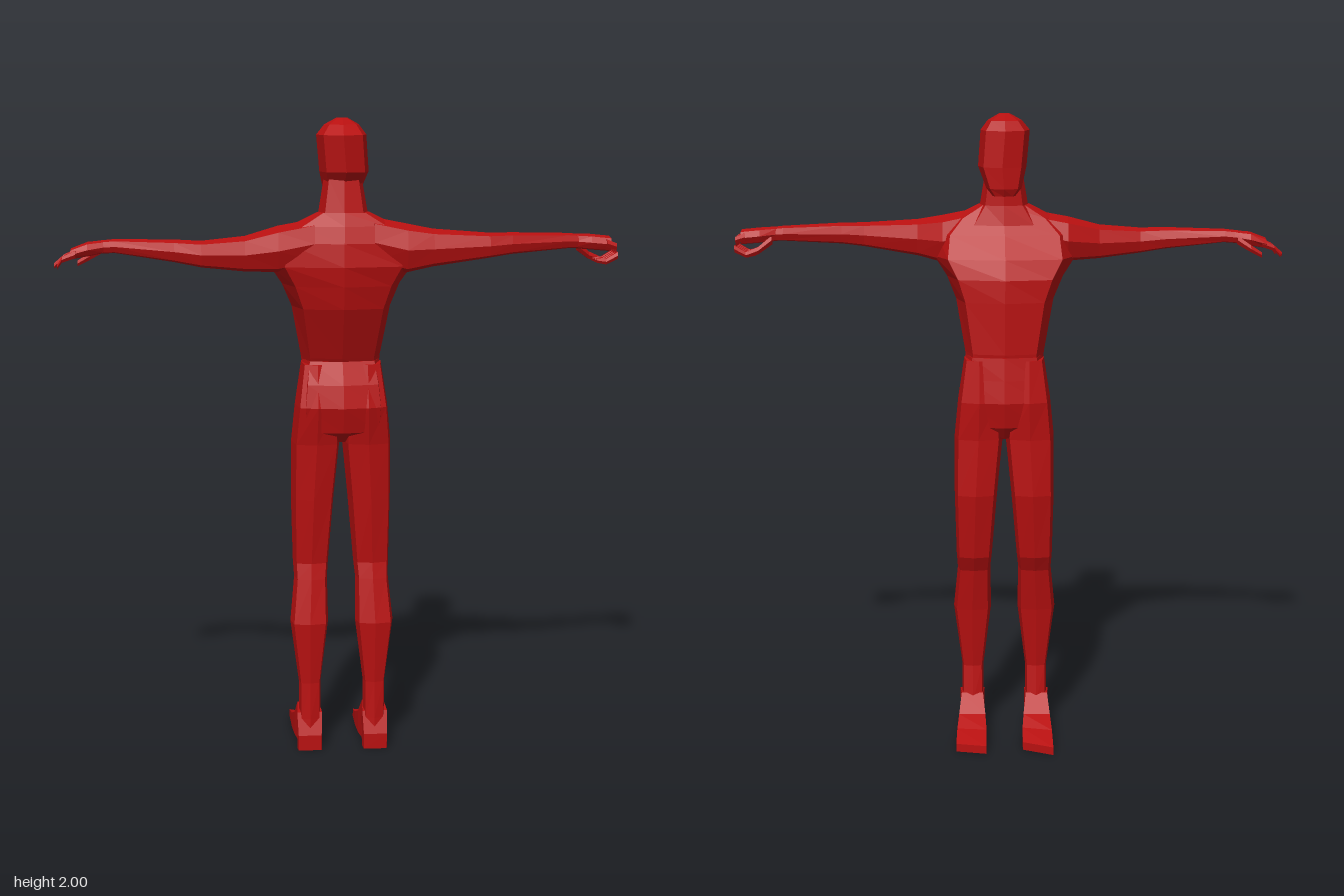
import * as THREE from 'three';

const red = new THREE.MeshStandardMaterial({ color: 0xb81010, flatShading: true });
red.name = 'red';

// Maps (t along the axis, a, b across it) to x, y, z
const place = {
  x: (t, a, b) => [t, b, a], // a = z, b = y
  y: (t, a, b) => [a, t, b], // a = x, b = z
  z: (t, a, b) => [a, b, t], // a = x, b = y
};

// Low-poly skin over sections [t, aMin, aMax, bMin, bMax, skew of t across a]
function loft(name, axis, sections, { sides = 8, power = 0.75, turn = 0 } = {}) {
  const pos = [], idx = [], n = sides, last = sections.length - 1;
  const bulge = (v) => Math.sign(v) * Math.abs(v) ** power;
  for (const [t, a0, a1, b0, b1, skew = 0] of sections) {
    for (let i = 0; i < n; i++) {
      const ang = turn + (i / n) * Math.PI * 2;
      const c = bulge(Math.cos(ang)), s = bulge(Math.sin(ang));
      pos.push(...place[axis](t + skew * c, (a0 + a1) / 2 + (c * (a1 - a0)) / 2, (b0 + b1) / 2 + (s * (b1 - b0)) / 2));
    }
  }
  for (let j = 0; j < last; j++) {
    for (let i = 0; i < n; i++) {
      const p = j * n + i, q = j * n + ((i + 1) % n);
      idx.push(p, q, q + n, p, q + n, p + n);
    }
  }
  for (let i = 1; i < n - 1; i++) {
    idx.push(0, i + 1, i, last * n, last * n + i, last * n + i + 1);
  }
  // Turn the faces outward whichever way the sections run
  let volume = 0;
  const v = (i) => new THREE.Vector3().fromArray(pos, i * 3);
  for (let i = 0; i < idx.length; i += 3) volume += v(idx[i]).dot(v(idx[i + 1]).cross(v(idx[i + 2])));
  if (volume < 0) idx.reverse();
  const geo = new THREE.BufferGeometry();
  geo.setAttribute('position', new THREE.Float32BufferAttribute(pos, 3));
  geo.setIndex(idx);
  const flat = geo.toNonIndexed();
  flat.computeVertexNormals();
  const mesh = new THREE.Mesh(flat, red);
  mesh.name = name;
  return mesh;
}

const boxy = { sides: 4, power: 0.01, turn: Math.PI / 4 };
const chamfered = { power: 0.55 };

// A bent finger: points [x, y, z] with a half thickness
function finger(name, points, r) {
  return loft(name, 'x', points.map(([x, y, z], i) => {
    const h = r * (1 - 0.18 * i);
    return [x, z - h, z + h, y - h, y + h];
  }), { sides: 6, power: 0.9 });
}

function createLeg(side) {
  const leg = new THREE.Group();
  leg.name = side > 0 ? 'leftLeg' : 'rightLeg';
  const mid = 0.01;
  const flip = ([t, a0, a1, ...rest]) => (side > 0 ? [t, a0, a1, ...rest] : [t, 2 * mid - a1, 2 * mid - a0, ...rest]);
  leg.add(loft('legShape', 'y', [
    [1.25, 0.04, 0.135, -0.07, 0.1],
    [1.12, 0.02, 0.155, -0.09, 0.135],
    [1.0, 0.014, 0.167, -0.08, 0.11],
    [0.82, 0.032, 0.168, -0.085, 0.095],
    [0.61, 0.05, 0.163, -0.055, 0.075],
    [0.56, 0.055, 0.16, -0.03, 0.085],
    [0.42, 0.053, 0.174, -0.005, 0.11],
    [0.22, 0.078, 0.148, 0.018, 0.095],
    [0.1, 0.078, 0.148, 0.0, 0.1],
    [0.03, 0.075, 0.155, 0.0, 0.105],
  ].map(flip), chamfered));
  // Foot runs from the heel to the skewed toe edge
  const skew = side > 0 ? 0.01 : 0.022;
  leg.add(loft('foot', 'z', [
    [0.11, 0.078, 0.152, 0, 0.05],
    [0.085, 0.075, 0.155, 0, 0.12],
    [0.01, 0.08, 0.15, 0, 0.13],
    [-0.04, 0.072, 0.158, 0, 0.075],
    [-0.1, 0.068, 0.163, 0, 0.048, skew / 2],
    [-0.178, 0.068, 0.165, 0, 0.026, skew],
  ].map(flip), boxy));
  return leg;
}

export function createModel() {
  const figure = new THREE.Group();
  figure.name = 'figure';

  figure.add(loft('head', 'y', [
    [1.752, -0.025, 0.045, -0.01, 0.05],
    [1.775, -0.045, 0.065, -0.022, 0.11],
    [1.84, -0.06, 0.09, -0.022, 0.162],
    [1.95, -0.07, 0.082, -0.018, 0.172],
    [1.98, -0.045, 0.06, 0.0, 0.135],
    [2.0, -0.008, 0.025, 0.05, 0.09],
  ]));
  figure.add(loft('neck', 'y', [
    [1.66, -0.11, 0.13, 0.01, 0.175],
    [1.72, -0.065, 0.085, 0.025, 0.16],
    [1.82, -0.048, 0.068, 0.03, 0.14],
  ]));
  figure.add(loft('torso', 'y', [
    [1.23, -0.11, 0.13, -0.07, 0.085],
    [1.27, -0.115, 0.132, -0.075, 0.105],
    [1.43, -0.145, 0.16, -0.075, 0.175],
    [1.5, -0.175, 0.188, -0.07, 0.19],
    [1.56, -0.215, 0.228, -0.045, 0.198],
    [1.63, -0.205, 0.22, 0.0, 0.19],
    [1.68, -0.15, 0.17, 0.03, 0.175],
    [1.72, -0.07, 0.09, 0.05, 0.16],
  ], { power: 0.65 }));
  figure.add(loft('pelvis', 'y', [
    [1.0, -0.05, 0.07, -0.05, 0.06],
    [1.04, -0.125, 0.145, -0.08, 0.125],
    [1.12, -0.13, 0.15, -0.095, 0.145],
    [1.19, -0.122, 0.142, -0.085, 0.13],
    [1.26, -0.112, 0.13, -0.075, 0.1],
  ], chamfered));

  for (const side of [1, -1]) figure.add(createLeg(side));

  // Left arm, ending in a loosely closed hand
  const leftArm = new THREE.Group();
  leftArm.name = 'leftArm';
  leftArm.add(loft('armShape', 'x', [
    [0.1, 0.04, 0.18, 1.56, 1.705],
    [0.2, 0.03, 0.19, 1.535, 1.685],
    [0.28, 0.07, 0.185, 1.555, 1.67],
    [0.45, 0.108, 0.182, 1.582, 1.658],
    [0.52, 0.1, 0.17, 1.592, 1.658],
    [0.7, 0.072, 0.132, 1.605, 1.652],
    [0.74, 0.07, 0.125, 1.605, 1.648],
  ]));
  leftArm.add(loft('palm', 'x', [
    [0.72, 0.072, 0.125, 1.605, 1.65],
    [0.77, 0.05, 0.135, 1.6, 1.648],
    [0.83, 0.05, 0.14, 1.595, 1.642],
  ]));
  [0.062, 0.085, 0.108, 0.13].forEach((z, i) => {
    leftArm.add(finger('finger' + (i + 1), [[0.815, 1.622, z], [0.846, 1.612, z], [0.843, 1.585, z]], 0.014));
    leftArm.add(finger('fingertip' + (i + 1), [[0.85, 1.585, z], [0.815, 1.566, z], [0.785, 1.57, z]], 0.012));
  });
  leftArm.add(finger('thumb', [[0.735, 1.61, 0.078], [0.775, 1.58, 0.06], [0.81, 1.567, 0.055]], 0.016));
  figure.add(leftArm);

  // Right arm, ending in an open drooping hand
  const rightArm = new THREE.Group();
  rightArm.name = 'rightArm';
  rightArm.add(loft('armShape', 'x', [
    [-0.08, 0.04, 0.18, 1.56, 1.7],
    [-0.19, 0.03, 0.19, 1.54, 1.68],
    [-0.29, 0.075, 0.188, 1.545, 1.652],
    [-0.42, 0.108, 0.19, 1.56, 1.64],
    [-0.5, 0.095, 0.175, 1.575, 1.643],
    [-0.68, 0.062, 0.125, 1.6, 1.642],
    [-0.73, 0.058, 0.115, 1.597, 1.637],
  ]));
  rightArm.add(loft('palm', 'x', [
    [-0.71, 0.06, 0.118, 1.6, 1.638],
    [-0.76, 0.045, 0.132, 1.59, 1.634],
    [-0.81, 0.05, 0.138, 1.582, 1.615],
  ]));
  [0.062, 0.085, 0.108, 0.132].forEach((z, i) => {
    const reach = [0.855, 0.863, 0.86, 0.85][i];
    rightArm.add(finger('finger' + (i + 1), [[-0.795, 1.6, z], [-0.835, 1.585, z], [-reach, 1.563, z + 0.002]], 0.012));
  });
  rightArm.add(finger('thumb', [[-0.72, 1.61, 0.065], [-0.76, 1.585, 0.05], [-0.795, 1.565, 0.05]], 0.015));
  figure.add(rightArm);

  return figure;
}
